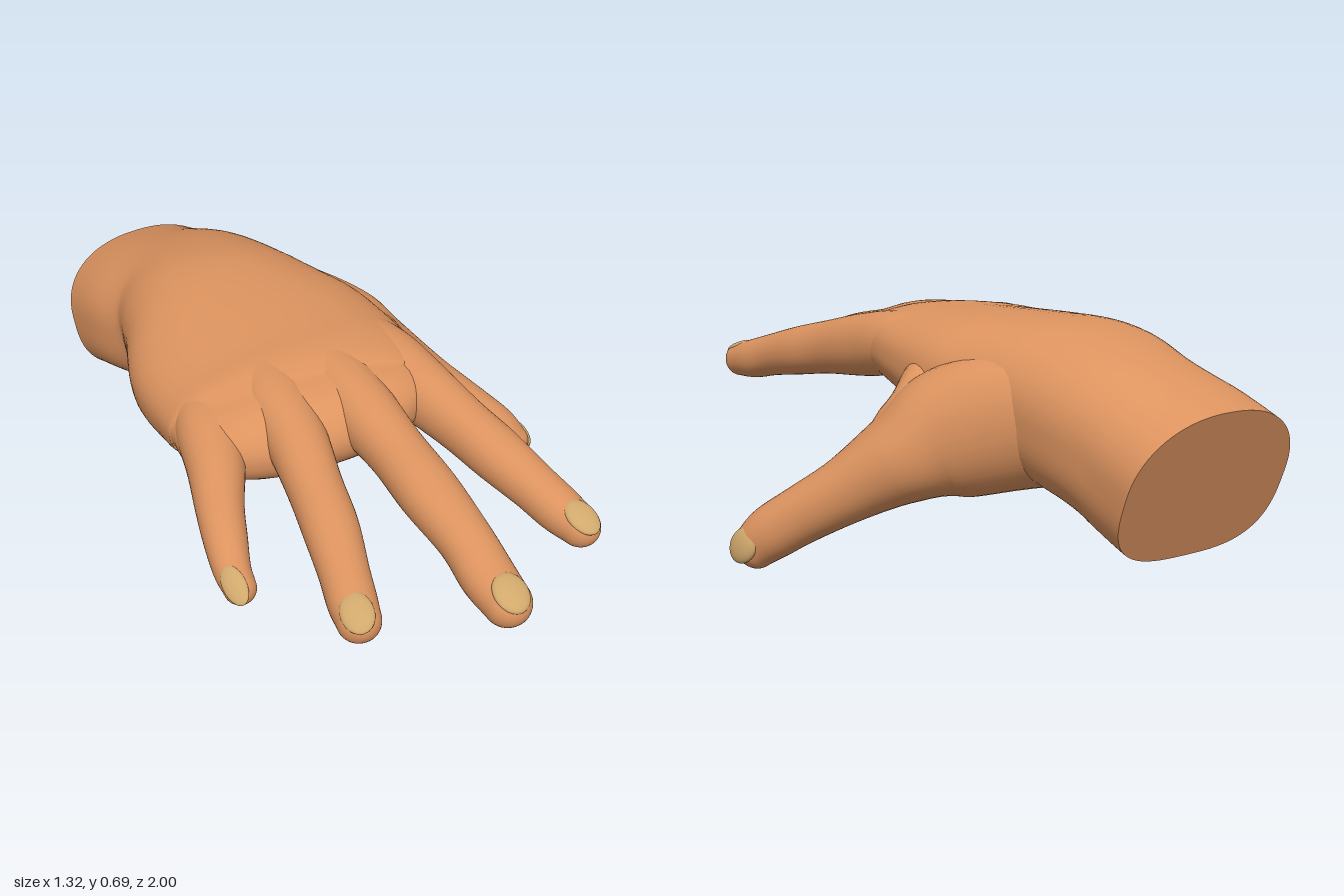
import * as THREE from 'three';

const skin = new THREE.MeshStandardMaterial({ color: 0xdc935f });
const nailMat = new THREE.MeshStandardMaterial({ color: 0xd0a86c });
const UP = new THREE.Vector3(0, 1, 0);

// Samples rows of [x, y, z, halfWidth, halfHeight, roll] into smooth frames
function sampler(rows) {
  const curve = f => new THREE.CatmullRomCurve3(rows.map(f), false, 'catmullrom', 0.5);
  const path = curve(r => new THREE.Vector3(r[0], r[1], r[2]));
  const size = curve(r => new THREE.Vector3(r[3], r[4], r[5] || 0));
  return (t, extraRoll = 0) => {
    const p = path.getPoint(t), d = path.getTangent(t), s = size.getPoint(t);
    const side = new THREE.Vector3().crossVectors(UP, d).normalize();
    side.applyAxisAngle(d, s.z + extraRoll);
    const up = new THREE.Vector3().crossVectors(d, side);
    return { p, d, side, up, hw: s.x, hh: s.y };
  };
}

// Skin lofted through superellipse sections: flat start, domed end.
// The underside's squareness runs from under[0] to under[1].
function loft(rows, { power = 2.1, under = [2.1, 2.1], dome = 0.05, seg = 40 } = {}) {
  const at = sampler(rows), steps = (rows.length - 1) * 6, rings = [];
  for (let i = 0; i <= steps; i++) {
    const t = i / steps;
    rings.push({ ...at(t), k: 1, low: THREE.MathUtils.lerp(under[0], under[1], t) });
  }
  const end = rings[steps];
  for (let i = 1; i <= 12; i++) {
    const a = (i / 12) * Math.PI / 2;
    rings.push({ ...end, p: end.p.clone().addScaledVector(end.d, dome * Math.sin(a)), k: Math.max(Math.cos(a), 0.001) });
  }
  const pos = [], idx = [];
  const pw = (v, n) => Math.sign(v) * Math.pow(Math.abs(v), 2 / n);
  const addRing = r => {
    for (let j = 0; j < seg; j++) {
      const a = (j / seg) * Math.PI * 2, n = j > seg / 2 ? r.low : power;
      const v = r.p.clone()
        .addScaledVector(r.side, r.hw * r.k * pw(Math.cos(a), n))
        .addScaledVector(r.up, r.hh * r.k * pw(Math.sin(a), n));
      pos.push(v.x, v.y, v.z);
    }
  };
  rings.forEach(addRing);
  for (let i = 0; i < rings.length - 1; i++) {
    for (let j = 0; j < seg; j++) {
      const n = (j + 1) % seg, a = i * seg, b = a + seg;
      idx.push(a + j, a + n, b + n, a + j, b + n, b + j);
    }
  }
  // flat cut with its own vertices, so its rim stays sharp
  const base = rings.length * seg;
  addRing(rings[0]);
  pos.push(...rings[0].p.toArray());
  for (let j = 0; j < seg; j++) idx.push(base + seg, base + (j + 1) % seg, base + j);
  const g = new THREE.BufferGeometry();
  g.setAttribute('position', new THREE.Float32BufferAttribute(pos, 3));
  g.setIndex(idx);
  g.computeVertexNormals();
  return g;
}

// Flattened nail set into the tip, turned around the finger by roll
function nail(rows, roll) {
  const f = sampler(rows)(1, roll);
  const m = new THREE.Mesh(new THREE.SphereGeometry(1, 24, 16), nailMat);
  m.name = 'nail';
  m.quaternion.setFromRotationMatrix(new THREE.Matrix4().makeBasis(f.side, f.up, f.d));
  m.rotateX(0.25);
  m.position.copy(f.p).addScaledVector(f.up, f.hh * 0.72).addScaledVector(f.d, 0.004);
  m.scale.set(f.hw * 0.75, f.hh * 0.3, 0.056);
  return m;
}

function skinPart(name, rows, options) {
  const m = new THREE.Mesh(loft(rows, options), skin);
  m.name = name;
  return m;
}

export function createModel() {
  const hand = new THREE.Group();
  hand.name = 'hand';

  // Wrist and palm, tapering to a thin edge between the fingers
  hand.add(skinPart('palmAndWrist', [
    [-0.12, 0.335, -0.93, 0.275, 0.208, 0],
    [-0.12, 0.39, -0.78, 0.276, 0.208, 0],
    [-0.1, 0.45, -0.62, 0.275, 0.207, 0],
    [-0.115, 0.487, -0.45, 0.308, 0.207, 0.03],
    [-0.138, 0.505, -0.25, 0.365, 0.19, 0.09],
    [-0.158, 0.53, -0.05, 0.37, 0.157, 0.12],
    [-0.175, 0.543, 0.06, 0.365, 0.14, 0.12],
    [-0.197, 0.537, 0.14, 0.353, 0.122, 0.11],
  ], { power: 2.25, under: [3, 2.3], dome: 0.175, seg: 72 }));

  // Skin stretched between thumb and index finger
  hand.add(skinPart('thumbWeb', [
    [0.08, 0.5, -0.08, 0.08, 0.12],
    [0.17, 0.45, -0.15, 0.08, 0.13],
    [0.25, 0.38, -0.19, 0.085, 0.12],
    [0.35, 0.3, -0.17, 0.07, 0.08],
  ], { dome: 0.05 }));

  // Digits, each starting inside the palm at its knuckle
  const digits = {
    indexFinger: { roll: 0.1, dome: 0.058, rows: [
      [0.04, 0.585, -0.2, 0.08, 0.075],
      [0.09, 0.583, 0.06, 0.095, 0.092],
      [0.113, 0.56, 0.23, 0.086, 0.092],
      [0.135, 0.533, 0.4, 0.073, 0.08],
      [0.155, 0.508, 0.53, 0.073, 0.074],
      [0.175, 0.48, 0.66, 0.064, 0.065],
      [0.19, 0.458, 0.75, 0.062, 0.061],
      [0.2, 0.447, 0.82, 0.053, 0.053],
    ] },
    middleFinger: { roll: 0, dome: 0.063, rows: [
      [-0.075, 0.605, -0.2, 0.07, 0.07],
      [-0.083, 0.598, 0.08, 0.095, 0.09],
      [-0.088, 0.577, 0.26, 0.088, 0.092],
      [-0.092, 0.55, 0.42, 0.077, 0.079],
      [-0.1, 0.523, 0.58, 0.08, 0.075],
      [-0.105, 0.488, 0.74, 0.07, 0.066],
      [-0.115, 0.453, 0.85, 0.07, 0.063],
      [-0.12, 0.436, 0.935, 0.062, 0.058],
    ] },
    ringFinger: { roll: 0.2, dome: 0.056, rows: [
      [-0.19, 0.595, -0.2, 0.07, 0.07],
      [-0.255, 0.585, 0.06, 0.092, 0.087],
      [-0.288, 0.558, 0.24, 0.083, 0.085],
      [-0.33, 0.523, 0.4, 0.073, 0.074],
      [-0.365, 0.493, 0.53, 0.072, 0.07],
      [-0.405, 0.46, 0.65, 0.064, 0.062],
      [-0.433, 0.438, 0.73, 0.062, 0.06],
      [-0.45, 0.428, 0.785, 0.056, 0.053],
    ] },
    littleFinger: { roll: 0.6, dome: 0.043, rows: [
      [-0.34, 0.53, -0.2, 0.08, 0.07],
      [-0.43, 0.525, 0.02, 0.09, 0.085],
      [-0.49, 0.507, 0.17, 0.078, 0.077],
      [-0.548, 0.483, 0.29, 0.064, 0.063],
      [-0.588, 0.453, 0.39, 0.056, 0.056],
      [-0.612, 0.425, 0.46, 0.048, 0.049],
      [-0.622, 0.41, 0.515, 0.042, 0.042],
    ] },
    thumb: { roll: -1.1, dome: 0.052, rows: [
      [-0.03, 0.45, -0.66, 0.13, 0.15],
      [0.075, 0.44, -0.44, 0.145, 0.182],
      [0.19, 0.392, -0.28, 0.152, 0.178],
      [0.3, 0.322, -0.2, 0.14, 0.125],
      [0.41, 0.24, -0.12, 0.095, 0.092],
      [0.5, 0.165, -0.03, 0.077, 0.08],
      [0.555, 0.11, 0.035, 0.073, 0.076],
      [0.59, 0.066, 0.075, 0.062, 0.064],
    ] },
  };
  for (const [name, { rows, roll, dome }] of Object.entries(digits)) {
    const digit = new THREE.Group();
    digit.name = name;
    digit.add(skinPart('flesh', rows, { dome }), nail(rows, roll));
    hand.add(digit);
  }
  return hand;
}
